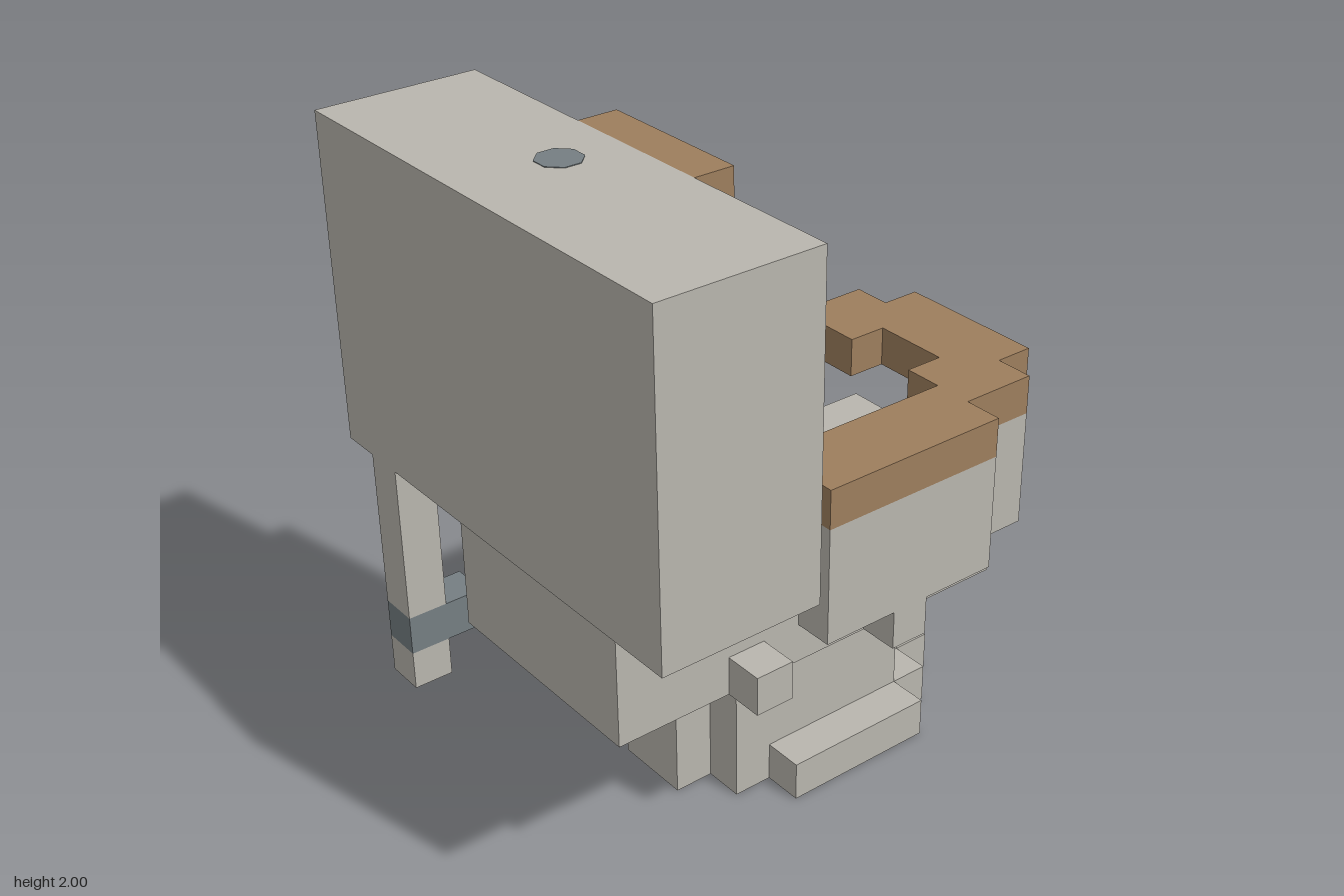
import * as THREE from 'three';

const U = 0.125; // one block
const mat = (name, color) => {
  const m = new THREE.MeshStandardMaterial({ color });
  m.name = name;
  return m;
};

// Mirrored stepped outline from rows of [start, end, half width]
function outline(rows) {
  const side = rows.flatMap(([a, b, w]) => [[w, a], [w, b]]);
  return [...side, ...side.slice().reverse().map(([x, z]) => [-x, z])]
    .map(([x, z]) => new THREE.Vector2(x * U, -z * U));
}

export function createModel() {
  const group = new THREE.Group();
  const ceramic = mat('ceramic grey', 0xb9b6ae);
  const wood = mat('wood brown', 0x9d7e5d);
  const water = mat('dark water', 0x415359);
  const metal = mat('blue grey metal', 0x757e82);

  const add = (name, geo, material) => {
    const mesh = new THREE.Mesh(geo, material);
    mesh.name = name;
    group.add(mesh);
    return mesh;
  };
  const box = (name, m, [x0, x1], [y0, y1], [z0, z1]) =>
    add(name, new THREE.BoxGeometry((x1 - x0) * U, (y1 - y0) * U, (z1 - z0) * U)
      .translate((x0 + x1) / 2 * U, (y0 + y1) / 2 * U, (z0 + z1) / 2 * U), m);
  // Horizontal slab from an outline, with an optional hole
  const slab = (name, m, points, y0, y1, hole) => {
    const shape = new THREE.Shape(points);
    if (hole) shape.holes.push(new THREE.Path(hole));
    const geo = new THREE.ExtrudeGeometry(shape, { depth: (y1 - y0) * U, bevelEnabled: false });
    return add(name, geo.rotateX(-Math.PI / 2).translate(0, y0 * U, 0), m);
  };

  // Foot and pedestal
  slab('foot', ceramic, outline([[-5, -4, 1], [-4, -3, 2], [-3, 1, 3], [1, 2, 2], [2, 3, 1]]), 0, 1);
  slab('pedestal', ceramic, outline([[-4, -3, 1], [-3, 2, 2], [2, 3, 1]]), 1, 4);

  // Bowl floor with a cross of water let into it
  const pool = outline([[-5, -3, 1], [-3, -2, 2], [-2, 0, 1]]);
  slab('bowlFloor', ceramic,
    outline([[-6, -5, 2], [-5, -2, 3], [-2, -1, 4], [-1, 2, 3], [2, 3, 4], [3, 6, 3]]), 4, 5, pool);
  slab('water', water, pool, 4, 5);

  // Bowl walls, with a narrower front lip underneath
  const basin = outline([[-5, -4, 1], [-4, 1, 2], [1, 2, 1]]);
  const wall = [[-6, -4, 3], [-4, 1, 4], [1, 6, 3]];
  slab('lowerBowl', ceramic, outline([[-7, -6, 1], ...wall]), 5, 6, basin);
  slab('upperBowl', ceramic, outline([[-7, -6, 2], ...wall]), 6, 8, basin);
  box('hingeBlock', ceramic, [-3, 3], [8, 9], [2, 3]);

  // Seat ring, open at the hinge, in two mirrored halves
  const half = [[0, -7], [2, -7], [2, -6], [3, -6], [3, -4], [4, -4], [4, 1], [3, 1], [3, 2],
    [1, 2], [1, 1], [2, 1], [2, -4], [1, -4], [1, -5], [0, -5]];
  for (const s of [1, -1]) {
    const pts = half.map(([x, z]) => new THREE.Vector2(s * x * U, -z * U));
    slab(s > 0 ? 'seatLeft' : 'seatRight', wood, pts, 8, 9);
  }

  // Raised lid, stepped at the top
  const lid = new THREE.Shape(outline([[-16, -15, 2], [-15, -14, 3], [-14, -9, 4]]));
  add('lid', new THREE.ExtrudeGeometry(lid, { depth: U, bevelEnabled: false })
    .translate(0, 0, 2 * U), wood);

  // Tank and flush button
  box('tank', ceramic, [-6, 6], [8, 16], [3, 7]);
  add('flushButton', new THREE.CylinderGeometry(0.067, 0.067, 0.004, 8)
    .rotateY(Math.PI / 8).translate(-0.5 * U, 2, 4.5 * U), metal);

  // Supply pipe and valve
  box('upperPipe', ceramic, [-5, -4], [4, 8], [6, 7]);
  box('valve', metal, [-5, -4], [3, 4], [5, 7]);
  box('lowerPipe', ceramic, [-5, -4], [2, 3], [6, 7]);

  return group;
}
